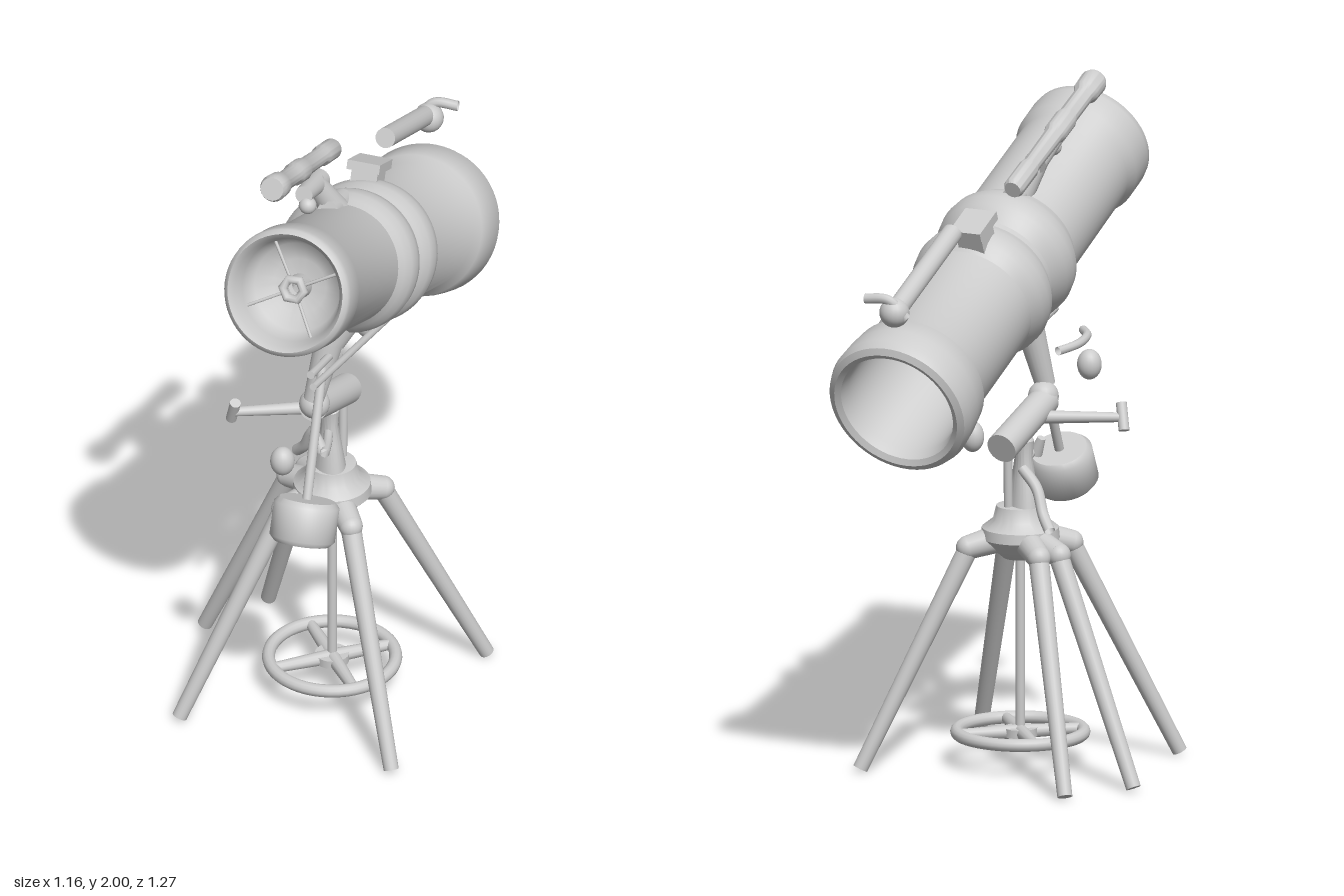
import * as THREE from 'three';
import { toCreasedNormals } from 'three/addons/utils/BufferGeometryUtils.js';

const mat = new THREE.MeshStandardMaterial({ color: 0xcccccc, side: THREE.DoubleSide });
const V = (p) => new THREE.Vector3(...p);
const UP = new THREE.Vector3(0, 1, 0);

function add(parent, name, geo, pos = [0, 0, 0]) {
  const m = new THREE.Mesh(geo, mat);
  m.name = name;
  m.position.set(...pos);
  parent.add(m);
  return m;
}

// Tapered rod between two points
function rod(parent, name, a, b, ra, rb = ra, sides = 20) {
  const A = V(a), B = V(b), dir = B.clone().sub(A);
  const m = add(parent, name, new THREE.CylinderGeometry(rb, ra, dir.length(), sides));
  m.position.copy(A).add(B).multiplyScalar(0.5);
  m.quaternion.setFromUnitVectors(UP, dir.normalize());
  return m;
}

function lathe(parent, name, pts, pos) {
  const geo = new THREE.LatheGeometry(pts.map((p) => new THREE.Vector2(...p)), 56);
  return add(parent, name, toCreasedNormals(geo, 0.8), pos);
}

// Lathe whose profile runs from point a toward point b
function latheAlong(parent, name, a, b, pts) {
  const m = lathe(parent, name, pts, a);
  m.quaternion.setFromUnitVectors(UP, V(b).sub(V(a)).normalize());
}

function bent(parent, name, pts, r) {
  const curve = new THREE.CatmullRomCurve3(pts.map(V));
  add(parent, name, new THREE.TubeGeometry(curve, 28, r, 10));
}

function ball(parent, name, pos, r, sy = 1) {
  const m = add(parent, name, new THREE.SphereGeometry(r, 20, 14), pos);
  m.scale.y = sy;
}

function buildOpticalTube(root) {
  const g = new THREE.Group();
  g.name = 'opticalTube';
  const front = V([-0.408, 1.742, 0.512]), back = V([0.41, 1.2, -0.49]);
  g.position.copy(front);
  // local y runs down the tube, local z stays on its upper side
  const y = back.clone().sub(front).normalize();
  const z = UP.clone().addScaledVector(y, -y.y).normalize();
  const x = y.clone().cross(z);
  g.quaternion.setFromRotationMatrix(new THREE.Matrix4().makeBasis(x, y, z));
  root.add(g);

  // Barrel: dished front floor, both rims, and the deep hollow at the back
  lathe(g, 'barrel', [
    [0.025, 0.15], [0.08, 0.145], [0.13, 0.12], [0.152, 0.07], [0.16, 0.02], [0.175, 0], [0.188, 0.01],
    [0.191, 0.03], [0.191, 0.11], [0.177, 0.14], [0.18, 0.6], [0.188, 0.8], [0.189, 1.225], [0.209, 1.245],
    [0.218, 1.31], [0.222, 1.37], [0.214, 1.398], [0.195, 1.408], [0.178, 1.398], [0.17, 1.36],
    [0.166, 0.18], [0.025, 0.17], [0.025, 0.15],
  ]);
  // Clamping rings
  for (const t of [0.61, 0.785]) {
    lathe(g, 'tubeRing', [
      [0.178, t - 0.085], [0.192, t - 0.06], [0.207, t - 0.035], [0.213, t], [0.208, t + 0.035],
      [0.197, t + 0.06], [0.18, t + 0.09],
    ]);
  }
  // Secondary mirror holder with thin vanes
  const hub = add(g, 'secondaryHolder', new THREE.TorusGeometry(0.032, 0.014, 10, 6), [0, 0.08, 0]);
  hub.rotation.x = Math.PI / 2;
  add(g, 'secondarySleeve', new THREE.CylinderGeometry(0.036, 0.036, 0.08, 20, 1, true), [0, 0.12, 0]);
  for (let i = 0; i < 4; i++) {
    const a = (i * Math.PI) / 2 + 0.5, c = Math.cos(a), s = Math.sin(a);
    rod(g, 'vane', [c * 0.035, 0.09, s * 0.035], [c * 0.15, 0.08, s * 0.15], 0.005, 0.005, 8);
  }
  // Focuser block on the upper side
  add(g, 'focuserBlock', new THREE.BoxGeometry(0.08, 0.08, 0.07), [-0.03, 0.81, 0.215]);
  add(g, 'focuserCap', new THREE.BoxGeometry(0.1, 0.12, 0.028), [-0.03, 0.81, 0.25]);
}

function buildFinders(root) {
  const a = [-0.37, 1.965, 0.3], b = [-0.02, 1.755, -0.14];
  latheAlong(root, 'finderScope', a, b, [
    [0, 0], [0.034, 0], [0.04, 0.015], [0.038, 0.07], [0.029, 0.09], [0.029, 0.2], [0.034, 0.22],
    [0.034, 0.29], [0.028, 0.31], [0.026, 0.47], [0.031, 0.49], [0.031, 0.59], [0.025, 0.603], [0, 0.603],
  ]);
  // Cradle hugging the scope, with a stem and a foot on the barrel
  rod(root, 'finderCradle', [-0.225, 1.835, 0.175], [-0.13, 1.785, 0.045], 0.026, 0.034);
  rod(root, 'finderStem', [-0.16, 1.81, 0.08], [-0.09, 1.69, 0.07], 0.03, 0.042);
  rod(root, 'finderFoot', [-0.13, 1.72, 0.12], [-0.05, 1.68, 0.02], 0.032, 0.036);
  ball(root, 'finderScrew', [-0.215, 1.8, 0.18], 0.026);

  // Rear eyepiece scope with its knob and lever
  rod(root, 'rearScope', [0.19, 1.665, -0.265], [0.43, 1.51, -0.56], 0.03, 0.03);
  ball(root, 'rearScopeKnob', [0.43, 1.505, -0.55], 0.044);
  bent(root, 'rearScopeLever', [[0.4, 1.49, -0.575], [0.45, 1.545, -0.56], [0.51, 1.545, -0.52]], 0.015);
}

function buildMount(root) {
  // Saddle and declination arm
  rod(root, 'saddle', [-0.14, 1.28, 0.145], [-0.09, 1.38, 0.11], 0.048, 0.09);
  rod(root, 'declinationArm', [-0.185, 1.1, 0.15], [-0.125, 1.32, 0.14], 0.03, 0.045);
  rod(root, 'counterweightShaft', [-0.28, 0.81, 0.33], [-0.165, 1.22, 0.17], 0.014);
  latheAlong(root, 'counterweight', [-0.298, 0.75, 0.352], [-0.262, 0.87, 0.308], [
    [0, 0], [0.082, 0], [0.096, 0.015], [0.096, 0.115], [0.082, 0.13], [0, 0.13],
  ]);
  // Polar axis housing
  rod(root, 'polarHousing', [-0.18, 1.06, 0.13], [-0.005, 0.965, -0.06], 0.044, 0.046, 28);
  ball(root, 'housingJoint', [-0.175, 1.07, 0.13], 0.045);
  // T handle
  rod(root, 'handleShaft', [-0.38, 1.02, 0.02], [-0.15, 1.02, 0.08], 0.014, 0.02);
  rod(root, 'handleBar', [-0.385, 0.985, 0], [-0.385, 1.06, 0.035], 0.016);
  // Cable looping out beside the barrel, and the long control rods
  bent(root, 'controlCable', [[-0.15, 1.27, -0.16], [-0.22, 1.28, -0.12], [-0.265, 1.285, -0.04], [-0.27, 1.285, 0.03]], 0.013);
  rod(root, 'controlRod', [-0.27, 1.3, 0.375], [0.27, 1.1, -0.26], 0.011, 0.011, 10);
  rod(root, 'shortRod', [-0.25, 1.29, 0.3], [-0.1, 1.24, 0.12], 0.012, 0.012, 10);
  ball(root, 'frontKnob', [-0.378, 1.09, 0.41], 0.036, 1.25);
  ball(root, 'rearKnob', [0.125, 1.05, -0.245], 0.034, 1.35);

  // Column, narrower from side to side, and its levers
  const column = lathe(root, 'column', [
    [0.075, 0.7], [0.066, 0.78], [0.048, 0.86], [0.036, 0.92], [0.042, 0.97], [0, 1.01],
  ], [-0.09, 0, 0.02]);
  column.scale.x = 0.7;
  rod(root, 'latitudeScrew', [-0.04, 0.75, 0], [-0.035, 0.97, -0.01], 0.013);
  bent(root, 'sideLever', [[-0.09, 0.9, 0.02], [-0.12, 0.9, 0.09], [-0.155, 0.91, 0.16]], 0.014);
  rod(root, 'sideLeverTip', [-0.165, 0.95, 0.11], [-0.152, 0.9, 0.13], 0.012, 0.02);
  bent(root, 'rearLever', [[-0.08, 0.89, -0.01], [-0.11, 0.84, -0.06], [-0.12, 0.77, -0.1], [-0.13, 0.73, -0.14]], 0.017);
}

function buildTripod(root) {
  const cx = -0.08, cz = 0.02;
  lathe(root, 'tripodHead', [
    [0, 0.61], [0.05, 0.62], [0.085, 0.65], [0.115, 0.68], [0.112, 0.71], [0.08, 0.735], [0.07, 0.775], [0, 0.785],
  ], [cx, 0, cz]);
  // Legs: foot x, foot z, knee x, knee z
  const legs = [
    [-0.56, 0.04, -0.235, 0.03], [0.395, 0.03, 0.075, 0.025], [-0.08, 0.515, -0.083, 0.185],
    [-0.1, -0.46, -0.095, -0.15], [-0.32, -0.395, -0.16, -0.13],
  ];
  for (const [fx, fz, kx, kz] of legs) {
    rod(root, 'leg', [fx, 0.012, fz], [kx, 0.65, kz], 0.022, 0.03);
    ball(root, 'knee', [kx, 0.655, kz], 0.035);
    rod(root, 'legArm', [kx, 0.655, kz], [cx, 0.695, cz], 0.035, 0.046);
  }
  // Spreader wheel on a central pole
  rod(root, 'centrePole', [cx, 0.09, cz], [cx, 0.65, cz], 0.014);
  const wheel = add(root, 'spreaderWheel', new THREE.TorusGeometry(0.185, 0.019, 12, 48), [cx, 0.1, cz]);
  wheel.rotation.x = Math.PI / 2;
  add(root, 'wheelHub', new THREE.CylinderGeometry(0.05, 0.05, 0.025, 24), [cx, 0.1, cz]);
  for (let i = 0; i < 4; i++) {
    const a = (i * Math.PI) / 2;
    const end = [cx + Math.cos(a) * 0.183, 0.1, cz + Math.sin(a) * 0.183];
    rod(root, 'spoke', [cx, 0.1, cz], end, 0.022, 0.016, 12);
  }
}

export function createModel() {
  const root = new THREE.Group();
  root.name = 'telescope';
  buildOpticalTube(root);
  buildFinders(root);
  buildMount(root);
  buildTripod(root);
  return root;
}
